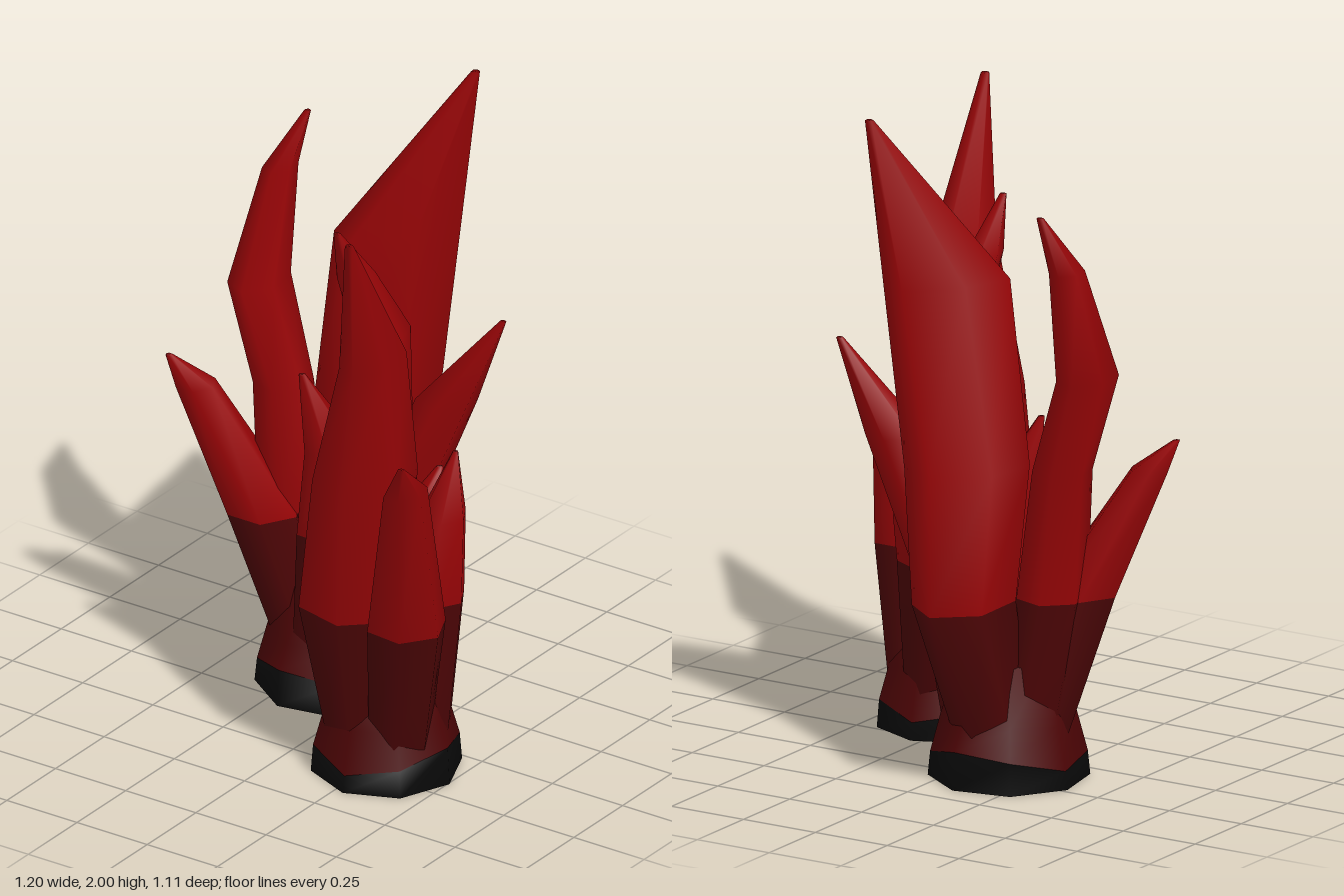
import * as THREE from 'three';

const mat = (name, color) => Object.assign(new THREE.MeshStandardMaterial({ color }), { name });
const red = mat('crystalRed', 0x960406);
const maroon = mat('stemMaroon', 0x4b0405);
const black = mat('rockBlack', 0x070707);

// Joins rings [x, y, z, rx, rz, tilt] into a closed smooth body; tilt turns the ellipse about y.
// The first `split` bands take material 0, the rest material 1.
function loft(rings, split, sides, turn, wobble = () => 0) {
  const pos = [], idx = [];
  for (const [x, y, z, rx, rz = rx, tilt = 0] of rings) {
    const c = Math.cos(tilt), s = Math.sin(tilt);
    for (let j = 0; j < sides; j++) {
      const a = turn + (j / sides) * Math.PI * 2;
      const u = rx * Math.cos(a - tilt), v = rz * Math.sin(a - tilt);
      pos.push(x + u * c - v * s, y + wobble(y, a), z + u * s + v * c);
    }
  }
  const geo = new THREE.BufferGeometry();
  rings.slice(1).forEach((_, i) => {
    for (let j = 0; j < sides; j++) {
      const a = i * sides + j, b = i * sides + (j + 1) % sides;
      idx.push(a, a + sides, b, b, a + sides, b + sides);
    }
  });
  // Close the top with a fan
  const top = (rings.length - 1) * sides;
  for (let j = 1; j < sides - 1; j++) idx.push(top, top + j + 1, top + j);
  geo.setAttribute('position', new THREE.Float32BufferAttribute(pos, 3));
  geo.setIndex(idx);
  geo.computeVertexNormals();
  const cut = split * sides * 6;
  geo.addGroup(0, cut, 0);
  geo.addGroup(cut, idx.length - cut, 1);
  return geo;
}

// A bent crystal: maroon below the second ring, red above
function spike(name, turn, rings) {
  const grown = rings.map(([x, y, z, rx, rz = rx, tilt]) => [x, y, z, rx * 1.06, rz * 1.06, tilt]);
  const mesh = new THREE.Mesh(loft(grown, 1, 6, turn), [maroon, red]);
  mesh.name = name;
  return mesh;
}

// Black rocky foot with a maroon collar the crystals grow from
function foot(x, z, r, turn, lift) {
  const g = new THREE.Group();
  g.name = 'foot';
  const edge = [x, 0.085, z, r * 0.97];
  const wobble = (y, a) => (y === edge[1] ? lift * Math.cos(2 * a) : 0);
  const rock = new THREE.Mesh(loft([[x, 0, z, r], edge], 1, 8, turn, wobble), [black, black]);
  rock.name = 'rock';
  const collar = new THREE.Mesh(
    loft([edge, [x, 0.19, z, r * 0.84], [x, 0.36, z, r * 0.6]], 2, 8, turn, wobble), [maroon, maroon]);
  collar.name = 'collar';
  const under = new THREE.Mesh(new THREE.CircleGeometry(r, 8, turn), black);
  under.rotation.x = Math.PI / 2;
  under.position.set(x, 0, z);
  under.name = 'underside';
  g.add(rock, collar, under);
  return g;
}

export function createModel() {
  const model = new THREE.Group();
  model.name = 'crystalClusters';

  const back = new THREE.Group();
  back.name = 'backCluster';
  back.add(
    foot(-0.15, -0.185, 0.238, 0.2, -0.032),
    spike('tallCrystal', 0.5, [
      [-0.15, 0.12, -0.265, 0.11, 0.1], [-0.105, 0.56, -0.36, 0.13, 0.18],
      [-0.065, 0.95, -0.28, 0.18, 0.13, -0.93], [0.005, 1.5, -0.28, 0.19, 0.075, -0.93],
      [0.185, 2, -0.42, 0.012]]),
    spike('hookedCrystal', 0.3, [
      [-0.22, 0.12, -0.19, 0.1], [-0.29, 0.56, -0.17, 0.1], [-0.32, 0.95, -0.16, 0.085],
      [-0.42, 1.25, -0.18, 0.075, 0.11], [-0.4, 1.59, -0.26, 0.045, 0.06], [-0.345, 1.76, -0.32, 0.01]]),
    spike('outerCrystal', 0, [
      [-0.23, 0.12, -0.17, 0.1], [-0.335, 0.56, -0.08, 0.11], [-0.525, 0.945, -0.005, 0.058, 0.062],
      [-0.592, 1.035, 0.035, 0.01]]),
    spike('frontCrystal', 0, [
      [-0.13, 0.12, -0.1, 0.1], [-0.1, 0.56, -0.08, 0.1], [-0.1, 0.82, -0.095, 0.085],
      [-0.17, 1.06, -0.04, 0.01]]),
    spike('sideCrystal', 0.4, [
      [-0.06, 0.12, -0.2, 0.1], [0.02, 0.56, -0.22, 0.095], [0.2, 1.0, -0.25, 0.09, 0.08],
      [0.365, 1.28, -0.3, 0.01]]));

  const front = new THREE.Group();
  front.name = 'frontCluster';
  front.add(
    foot(0.28, 0.175, 0.225, 0, 0.032),
    spike('tallCrystal', 0.26, [
      [0.25, 0.12, 0.23, 0.11, 0.12], [0.235, 0.56, 0.28, 0.16, 0.145],
      [0.28, 1, 0.285, 0.14, 0.16], [0.35, 1.42, 0.345, 0.07, 0.13], [0.39, 1.88, 0.525, 0.012]]),
    spike('hookedCrystal', 0.2, [
      [0.22, 0.12, 0.12, 0.1], [0.16, 0.56, 0.08, 0.09], [0.155, 0.95, 0, 0.07, 0.09],
      [0.125, 1.3, -0.025, 0.08, 0.085], [0.085, 1.5, 0.05, 0.05, 0.06], [0.07, 1.66, 0.125, 0.01]]),
    spike('outerCrystal', 0.1, [
      [0.365, 0.12, 0.23, 0.09], [0.445, 0.56, 0.31, 0.115], [0.535, 1.08, 0.445, 0.055, 0.075],
      [0.588, 1.21, 0.545, 0.01]]),
    spike('sideCrystal', 0, [
      [0.37, 0.12, 0.13, 0.09], [0.4, 0.56, 0.1, 0.09], [0.415, 0.82, 0.08, 0.07],
      [0.415, 1, 0.015, 0.008]]),
    spike('rearCrystal', 0.5, [
      [0.27, 0.12, 0.08, 0.09], [0.22, 0.56, -0.05, 0.085], [0.22, 0.71, -0.11, 0.065],
      [0.23, 0.82, -0.17, 0.01]]));

  model.add(back, front);
  return model;
}
